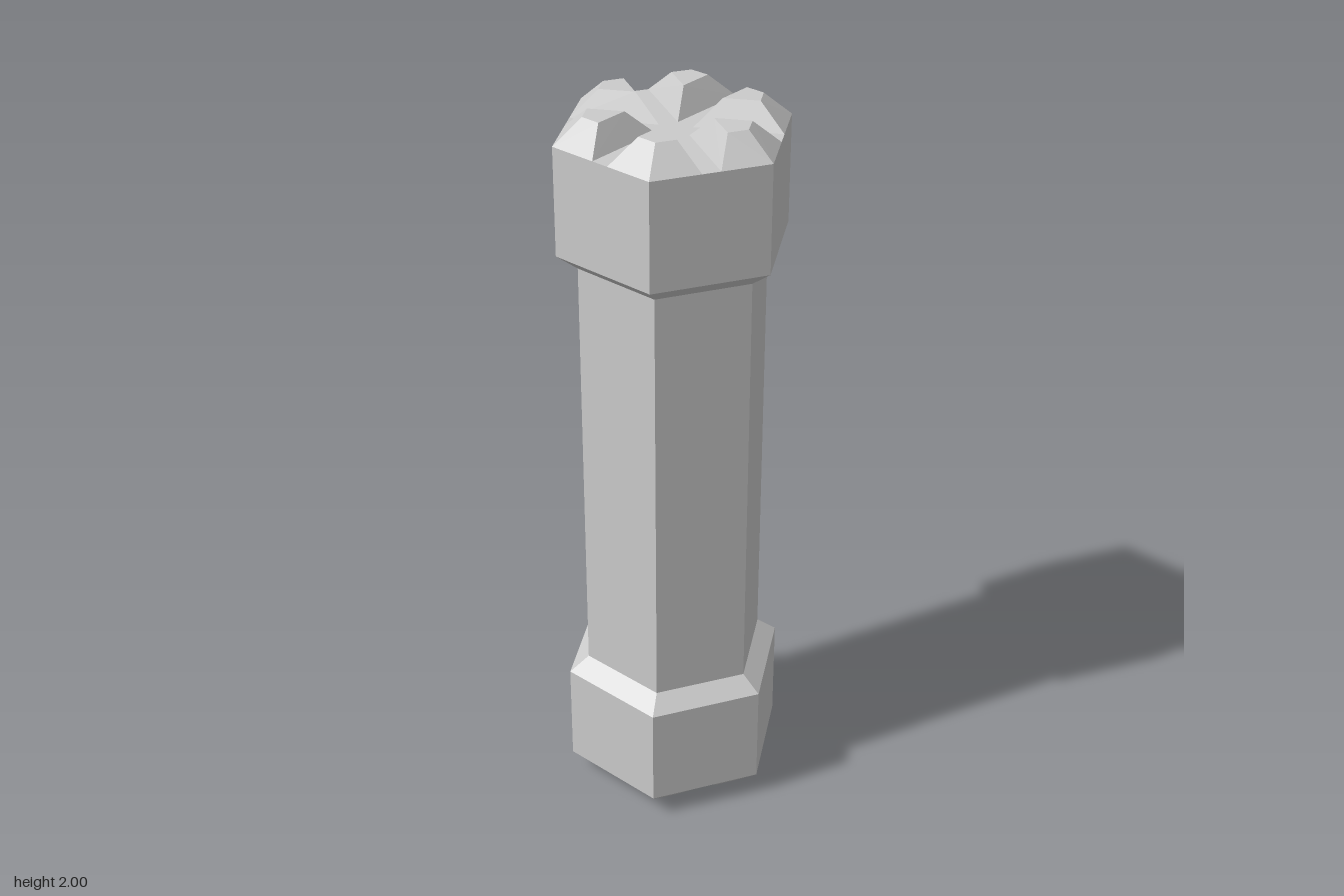
import * as THREE from 'three';
import { ConvexGeometry } from 'three/addons/geometries/ConvexGeometry.js';

const RIM = 0.307;       // corner radius of the end caps
const SHAFT = 0.252;     // corner radius of the shaft
const STUD_H = 0.065;    // height of the studs on each end
const CAP_Y = 1 - STUD_H; // cap face, measured from the middle of the model

const material = new THREE.MeshStandardMaterial({ color: 0xcccccc, flatShading: true });

function mesh(geometry, name) {
  const m = new THREE.Mesh(geometry, material);
  m.name = name;
  return m;
}

// Six-sided solid of revolution with corners on the x axis
function hexLathe(profile) {
  const points = profile.map(([r, y]) => new THREE.Vector2(r, y));
  return new THREE.LatheGeometry(points, 6, Math.PI / 2);
}

// Bevelled kite-shaped stud sitting on the +x corner of the cap
function studGeometry() {
  const base = [[0.049, 0], [0.242, 0.1125], [RIM, 0], [0.242, -0.1125]];
  const top = [[0.125, 0], [0.205, 0.046], [0.231, 0], [0.205, -0.046]];
  return new ConvexGeometry([
    ...base.map(([x, z]) => new THREE.Vector3(x, CAP_Y, z)),
    ...top.map(([x, z]) => new THREE.Vector3(x, CAP_Y + STUD_H, z)),
  ]);
}

// Wide collar tapering to the shaft, with six studs around its face
function endCap(name) {
  const cap = new THREE.Group();
  cap.name = name;
  cap.add(mesh(hexLathe([[SHAFT, 0.603], [RIM, 0.645], [RIM, CAP_Y], [0, CAP_Y]]), 'collar'));
  const geometry = studGeometry();
  for (let i = 0; i < 6; i++) {
    const stud = mesh(geometry, 'stud' + (i + 1));
    stud.rotation.y = (i * Math.PI) / 3;
    cap.add(stud);
  }
  return cap;
}

export function createModel() {
  const model = new THREE.Group();
  model.name = 'hexagonalPillar';

  const body = new THREE.Group();
  body.name = 'body';
  body.position.y = 1;
  model.add(body);

  body.add(mesh(hexLathe([[SHAFT, -0.603], [SHAFT, 0.603]]), 'shaft'));

  // Matching caps, the lower one turned upside down
  const bottomCap = endCap('bottomCap');
  bottomCap.rotation.x = Math.PI;
  body.add(endCap('topCap'), bottomCap);

  return model;
}
